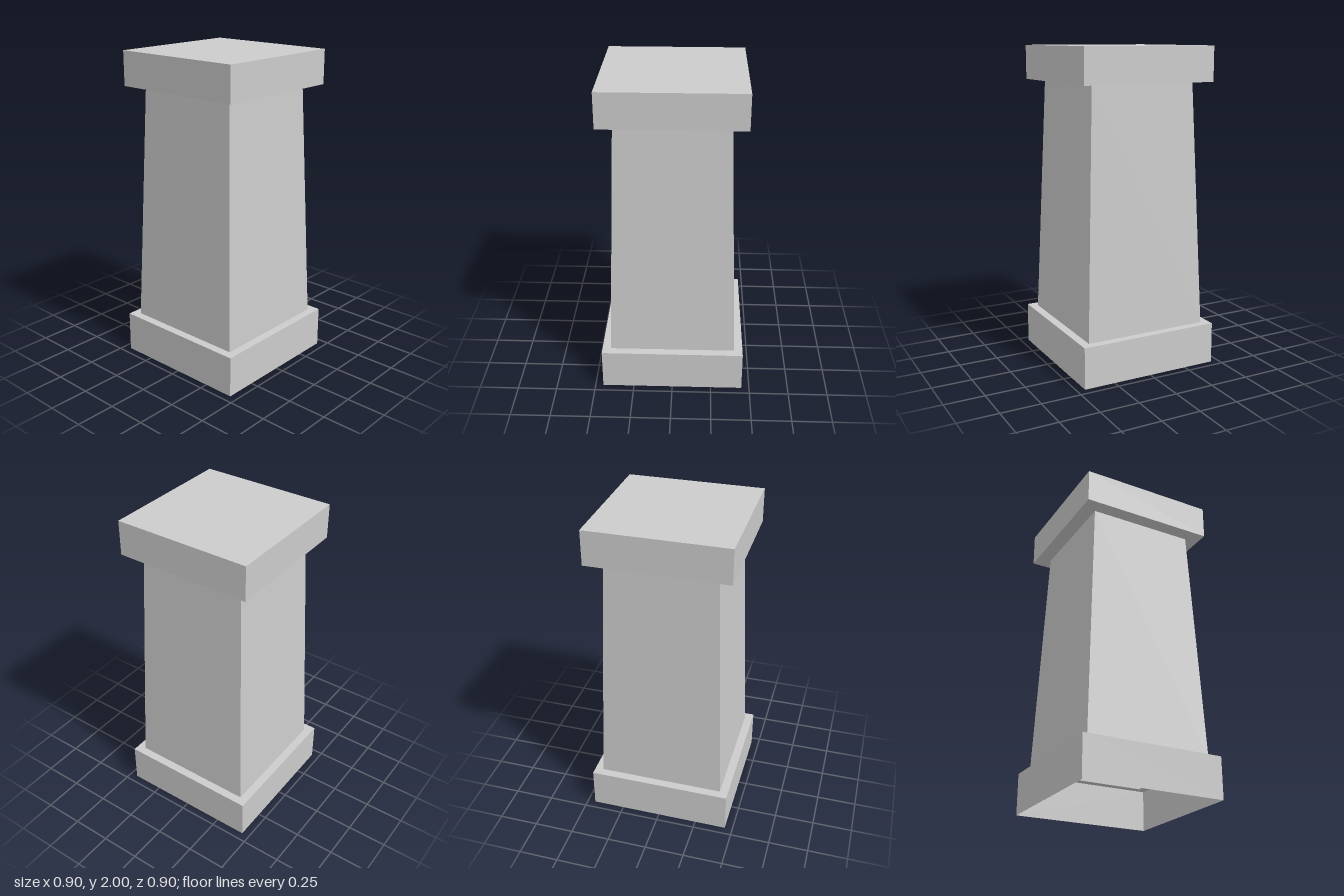
import * as THREE from 'three';

const material = new THREE.MeshStandardMaterial({
  color: 0xcccccc, flatShading: true, side: THREE.DoubleSide,
});

// Square shell from a profile of [half width, height] points
function squareShell(name, profile) {
  const points = profile.map(([half, y]) => new THREE.Vector2(half * Math.SQRT2, y));
  const mesh = new THREE.Mesh(new THREE.LatheGeometry(points, 4, Math.PI / 4), material);
  mesh.name = name;
  return mesh;
}

export function createModel() {
  const group = new THREE.Group();
  group.name = 'pedestal';

  const baseTop = 0.26, capBottom = 1.785, height = 2;
  const baseHalf = 0.45, shaftLow = 0.397, shaftHigh = 0.339, capHalf = 0.43;

  group.add(
    // Plinth, open underneath, with a ledge around the shaft
    squareShell('base', [[baseHalf, 0], [baseHalf, baseTop], [shaftLow, baseTop]]),
    // Hollow tapering shaft
    squareShell('shaft', [[shaftLow, baseTop], [shaftHigh, capBottom]]),
    // Overhanging cap with a closed top
    squareShell('cap', [[shaftHigh, capBottom], [capHalf, capBottom], [capHalf, height], [0, height]]),
  );
  return group;
}
